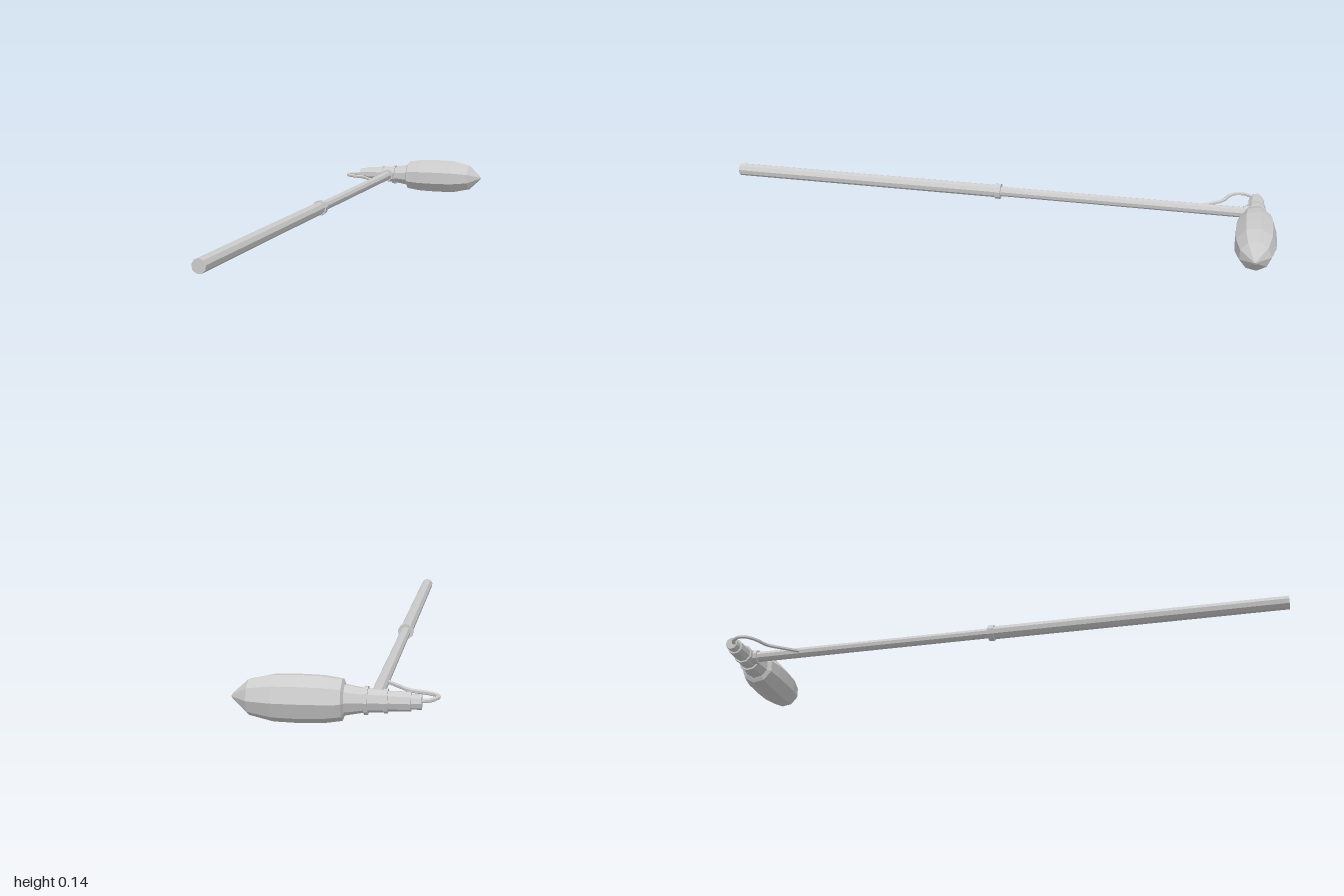
import * as THREE from 'three';

const SIDES = 9;
const AXIS_Y = 0.0705, HEAD_Z = -0.93, POLE_X = -0.112;

export function createModel() {
  const group = new THREE.Group();
  const material = new THREE.MeshStandardMaterial({ color: 0xcccccc, flatShading: true });

  const add = (name, geometry, x, y, z) => {
    const mesh = new THREE.Mesh(geometry, material);
    mesh.name = name;
    mesh.position.set(x, y, z);
    group.add(mesh);
  };
  // Profiles are [position along axis, radius], in rising order
  const lathe = (profile, phase) => new THREE.LatheGeometry(
    profile.map(([along, r]) => new THREE.Vector2(r, along)), SIDES, phase);
  const alongX = (name, profile) =>
    add(name, lathe(profile, Math.PI / SIDES).rotateZ(-Math.PI / 2), 0, AXIS_Y, HEAD_Z);
  const alongZ = (name, profile) =>
    add(name, lathe(profile, Math.PI).rotateX(Math.PI / 2), POLE_X, AXIS_Y, 0);

  // Pointed head
  alongX('head', [[-0.03, 0], [-0.03, 0.046], [-0.024, 0.06], [0.03, 0.068], [0.1, 0.07],
    [0.17, 0.068], [0.24, 0.052], [0.286, 0.009], [0.291, 0]]);

  // Neck with two clamp rings and a stepped tail
  alongX('neck', [[-0.14, 0], [-0.14, 0.032], [-0.085, 0.035], [-0.028, 0.045], [-0.028, 0]]);
  for (const [x, r] of [[-0.095, 0.041], [-0.15, 0.035]])
    alongX('clampRing', [[x, 0], [x, r], [x + 0.011, r], [x + 0.011, 0]]);
  alongX('tail', [[-0.243, 0], [-0.243, 0.022], [-0.214, 0.022], [-0.214, 0.028],
    [-0.14, 0.029], [-0.14, 0]]);

  // Pole: thick grip, collar, thin shaft and the socket under the neck
  alongZ('grip', [[-0.01, 0], [-0.01, 0.023], [1, 0.023], [1, 0]]);
  alongZ('collar', [[-0.02, 0], [-0.02, 0.028], [0, 0.028], [0, 0]]);
  alongZ('shaft', [[-0.92, 0], [-0.92, 0.019], [-0.4, 0.018], [-0.01, 0.0175], [-0.01, 0]]);
  alongZ('socket', [[-0.92, 0], [-0.92, 0.025], [-0.885, 0.025], [-0.885, 0]]);

  // Loose cable from the tail back to the shaft
  const path = new THREE.CatmullRomCurve3([
    [-0.235, -0.922], [-0.262, -0.913], [-0.284, -0.882], [-0.279, -0.856], [-0.25, -0.833],
    [-0.2, -0.812], [-0.168, -0.775], [-0.13, -0.727], [-0.115, -0.71],
  ].map(([x, z]) => new THREE.Vector3(x, 0, z)));
  add('cable', new THREE.TubeGeometry(path, 24, 0.0065, 6), 0, AXIS_Y, 0);

  return group;
}
